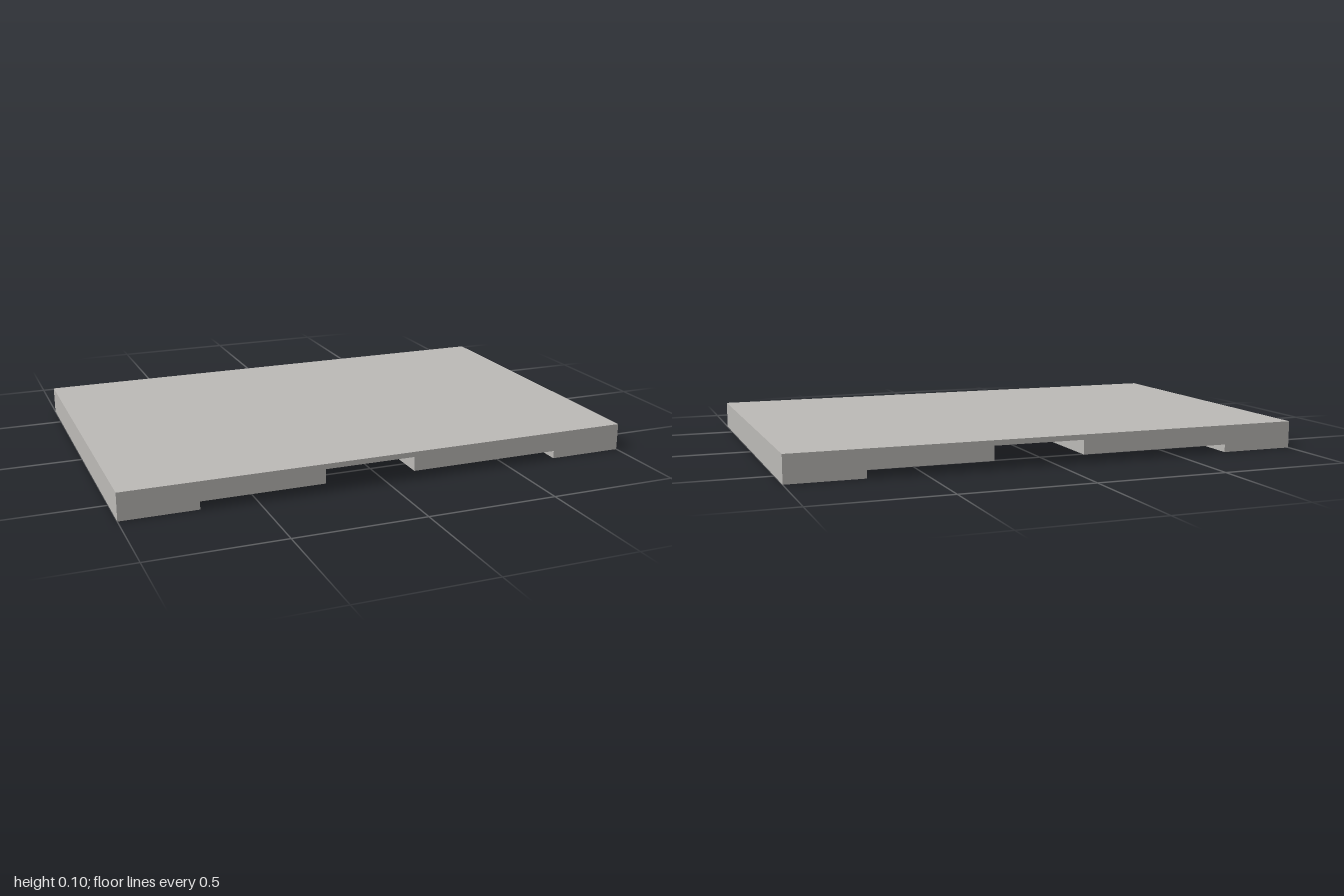
import * as THREE from 'three';

const W = 1, D = 0.655;                  // half width, half depth
const Y_MID = 0.03, Y_CEIL = 0.085, Y_TOP = 0.105;
const RAIL_X = 0.71;                     // inner edge of the foot rails
const SLOT = 0.11, HUB_R = 0.167, SWEEP_R = 0.698;
const HOLE = { x: 0.9, z: 0.555, r: 0.057, top: 0.05 };

export function createModel() {
  const grey = new THREE.MeshStandardMaterial({ color: 0xbcbab7 });
  grey.name = 'warm grey';
  const model = new THREE.Group();
  model.name = 'basePlate';

  const add = (parent, name, geometry) => {
    const mesh = new THREE.Mesh(geometry, grey);
    mesh.name = name;
    parent.add(mesh);
    return mesh;
  };

  // Extrude a plan shape (shape y = -z) upwards between two heights
  const slab = (shape, y0, y1) => {
    const g = new THREE.ExtrudeGeometry(shape, { depth: y1 - y0, bevelEnabled: false, curveSegments: 40 });
    return g.rotateX(-Math.PI / 2).translate(0, y0, 0);
  };
  const circle = (Type, x, y, r) => new Type().absarc(x, y, r, 0, Math.PI * 2, false);
  const drillCorners = (shape) => {
    for (const s of [-1, 1]) shape.holes.push(circle(THREE.Path, HOLE.x, s * HOLE.z, HOLE.r));
    return shape;
  };

  // Top skin
  add(model, 'topPlate', new THREE.BoxGeometry(2 * W, Y_TOP - Y_CEIL, 2 * D)
    .translate(0, (Y_TOP + Y_CEIL) / 2, 0));

  // Body half: the sweeping pocket is bounded by a straight slot wall, the hub
  // circle, a slanted stop wall 60 degrees round, and the outer sweep arc
  const slotAngle = -Math.acos(SLOT / HUB_R);
  const dir = Math.PI / 6;
  const stopAngle = (r) => dir - Math.asin(SLOT / r);
  const body = new THREE.Shape();
  body.moveTo(W, D);
  body.lineTo(W, -D);
  body.lineTo(SLOT, -D);
  body.absarc(0, 0, HUB_R, slotAngle, stopAngle(HUB_R), false);
  body.absarc(0, 0, SWEEP_R, stopAngle(SWEEP_R), Math.asin(D / SWEEP_R), false);
  body.closePath();
  drillCorners(body);

  // Foot rail along the side edge
  const rail = new THREE.Shape();
  rail.moveTo(RAIL_X, -D);
  rail.lineTo(W, -D);
  rail.lineTo(W, D);
  rail.lineTo(RAIL_X, D);
  rail.closePath();
  drillCorners(rail);

  const bodyGeometry = slab(body, Y_MID, Y_CEIL);
  const railGeometry = slab(rail, 0, Y_MID);
  const plugGeometry = new THREE.CylinderGeometry(HOLE.r, HOLE.r, Y_CEIL - HOLE.top, 40);

  // The two halves are the same part turned half way round
  for (const [name, turn] of [['leftHalf', 0], ['rightHalf', Math.PI]]) {
    const half = new THREE.Group();
    half.name = name;
    half.rotation.y = turn;
    add(half, 'pocketBody', bodyGeometry);
    add(half, 'footRail', railGeometry);
    for (const s of [-1, 1]) {
      add(half, 'footHoleFloor', plugGeometry)
        .position.set(HOLE.x, (Y_CEIL + HOLE.top) / 2, s * HOLE.z);
    }
    model.add(half);
  }

  // Pivot boss in the middle of the pocket
  const boss = circle(THREE.Shape, 0, 0, 0.092);
  boss.holes.push(circle(THREE.Path, 0, 0, 0.055));
  add(model, 'pivotBoss', slab(boss, Y_MID, Y_CEIL));

  return model;
}
